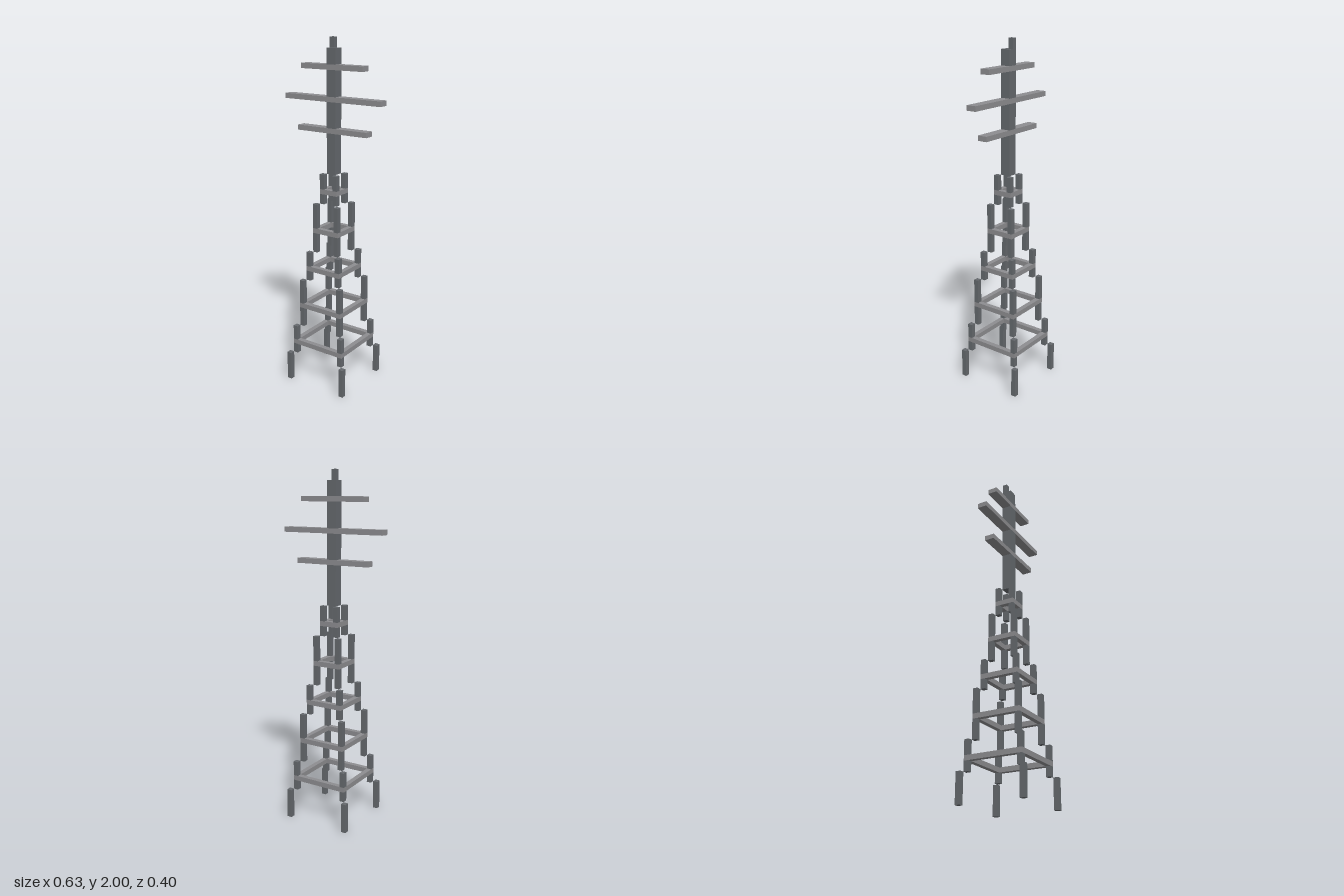
import * as THREE from 'three';

const U = 2 / 70; // one block

export function createModel() {
  const root = new THREE.Group();
  root.name = 'latticeTower';
  const dark = new THREE.MeshStandardMaterial({ color: 0x65696d });
  dark.name = 'dark steel';
  const light = new THREE.MeshStandardMaterial({ color: 0x8d8d90 });
  light.name = 'light steel';

  // box between two corners given in blocks
  function block(name, mat, [x0, y0, z0], [x1, y1, z1], parent = root) {
    const geo = new THREE.BoxGeometry((x1 - x0) * U, (y1 - y0) * U, (z1 - z0) * U);
    const mesh = new THREE.Mesh(geo, mat);
    mesh.position.set((x0 + x1) / 2 * U, (y0 + y1) / 2 * U, (z0 + z1) / 2 * U);
    mesh.name = name;
    parent.add(mesh);
  }

  // stepped tiers: outer half-width, bottom, top, brace height (all in blocks)
  const tiers = [
    [7, 0, 6, null],
    [6, 6, 12, 8],
    [5, 12, 22, 16],
    [4, 22, 28, 24],
    [3, 28, 38, 32],
    [2, 38, 44, 40],
  ];
  tiers.forEach(([r, y0, y1, brace], i) => {
    const tier = new THREE.Group();
    tier.name = `tier${i + 1}`;
    root.add(tier);

    // four corner legs, interrupted where the brace ring passes through
    const spans = brace === null ? [[y0, y1]] : [[y0, brace], [brace + 1, y1]];
    for (const x of [-r, r - 1]) for (const z of [-r, r - 1])
      for (const [a, b] of spans)
        block('leg', dark, [x, a, z], [x + 1, b, z + 1], tier);

    // square brace ring
    if (brace !== null) for (const s of [-r, r - 1]) {
      block('braceAcross', light, [-r, brace, s], [r, brace + 1, s + 1], tier);
      block('braceSide', light, [s, brace, 1 - r], [s + 1, brace + 1, r - 1], tier);
    }
  });

  // mast sections with cross arms between them
  const arms = [[52, 8], [58, 11], [64, 7]];
  let y = 44;
  for (const [armY, half] of arms) {
    block('mast', dark, [-1, y, -1], [1, armY, 1]);
    block('crossArm', light, [-half, armY, -1], [half, armY + 1, 1]);
    y = armY + 1;
  }
  block('mast', dark, [-1, y, -1], [1, 68, 1]);

  // offset tip
  block('tip', dark, [-1, 68, -1], [0, 70, 0]);

  return root;
}
